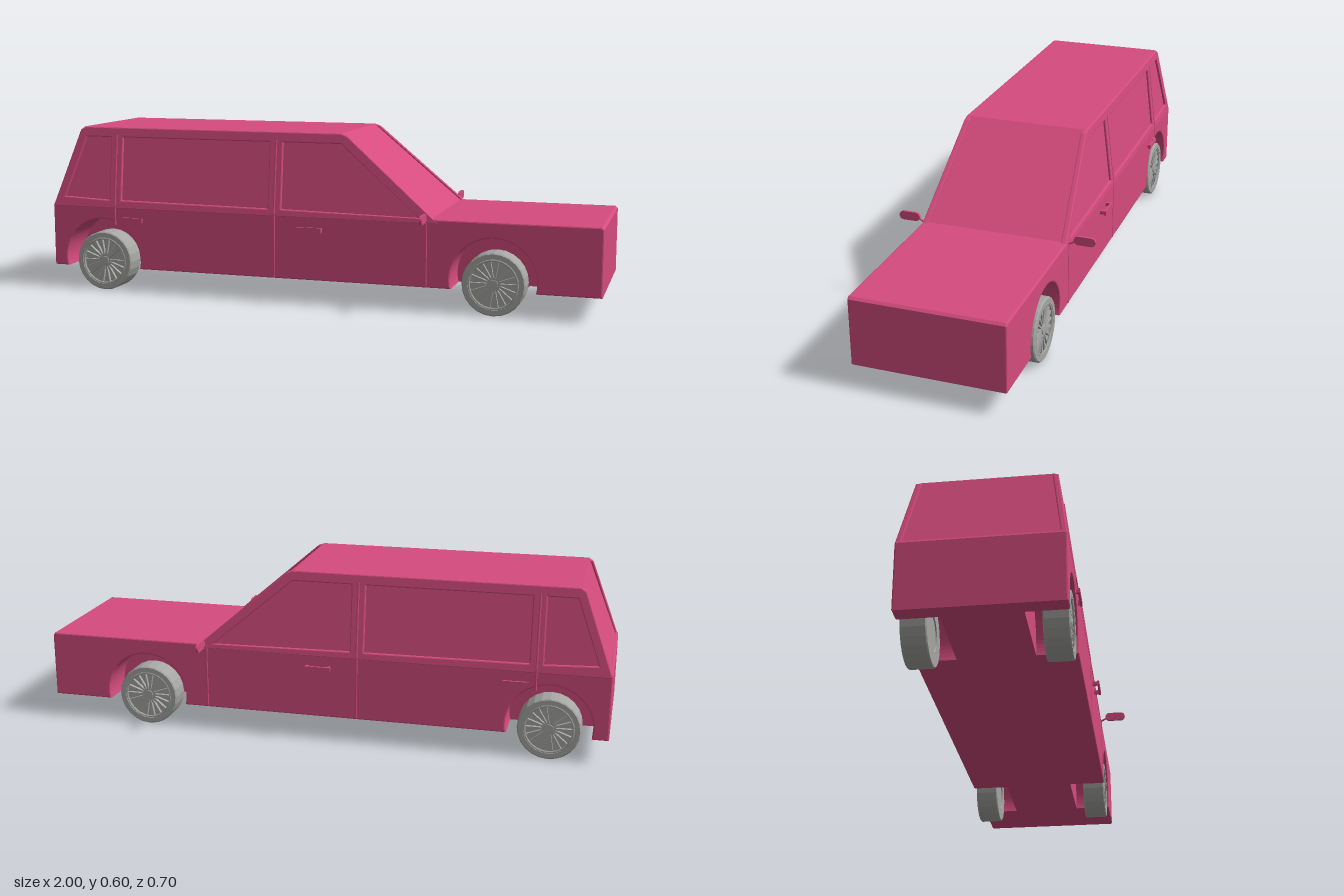
import * as THREE from 'three';

const paint = new THREE.MeshStandardMaterial({ color: 0xd54c7d });
paint.name = 'pink paint';
const metal = new THREE.MeshStandardMaterial({ color: 0xa6a6a4 });
metal.name = 'grey wheel';

const HALF = 0.258, SILL = 0.085, BELT = 0.32, ROOF = 0.598;
const vec = (pts) => pts.map(([x, y]) => new THREE.Vector2(x, y));

// Extrudes a side profile between two z values, optionally with a small bevel.
function slab(shape, z0, z1, bevel = 0) {
  const geo = new THREE.ExtrudeGeometry(shape, {
    depth: z1 - z0 - 2 * bevel, curveSegments: 20, bevelEnabled: bevel > 0,
    bevelSize: bevel, bevelThickness: bevel, bevelOffset: -bevel, bevelSegments: 2,
  });
  return geo.translate(0, 0, z0 + bevel);
}

// Leans the cabin sides inwards with height.
function lean(geo) {
  const p = geo.attributes.position;
  for (let i = 0; i < p.count; i++) {
    const z = p.getZ(i);
    p.setZ(i, z - Math.sign(z) * 0.122 * (p.getY(i) - 0.315));
  }
  geo.computeVertexNormals();
  return geo;
}

// Mirrors a geometry across z and restores the corner order.
function mirrored(geo) {
  const g = geo.index ? geo.toNonIndexed() : geo.clone();
  g.scale(1, 1, -1);
  for (const name of ['position', 'normal']) {
    const a = g.attributes[name].array;
    for (let i = 0; i < a.length; i += 9) {
      for (let k = 3; k < 6; k++) [a[i + k], a[i + k + 3]] = [a[i + k + 3], a[i + k]];
    }
  }
  return g;
}

function add(parent, name, geo, mat = paint) {
  const mesh = new THREE.Mesh(geo, mat);
  mesh.name = name;
  parent.add(mesh);
  return mesh;
}

function addPair(parent, name, geo) {
  add(parent, name + 'Left', geo);
  add(parent, name + 'Right', mirrored(geo));
}

// Thin rod between two points.
function rod(a, b, r) {
  const A = new THREE.Vector3(...a), B = new THREE.Vector3(...b);
  return new THREE.TubeGeometry(new THREE.LineCurve3(A, B), 1, r, 8);
}

function flat(geo) {
  const g = geo.toNonIndexed();
  g.computeVertexNormals();
  return g;
}

// Wheel with its outer face towards +z.
function makeWheel() {
  const wheel = new THREE.Group();
  const profile = vec([[0, -0.037], [0.055, -0.037], [0.057, -0.041], [0.104, -0.041], [0.108, -0.037],
    [0.108, 0.037], [0.104, 0.041], [0.087, 0.041], [0.085, 0.024], [0, 0.024]]);
  add(wheel, 'tyre', flat(new THREE.LatheGeometry(profile, 24).rotateX(Math.PI / 2)), metal);
  add(wheel, 'rimRing', new THREE.TorusGeometry(0.083, 0.004, 6, 32).translate(0, 0, 0.037), metal);
  add(wheel, 'hub', new THREE.CylinderGeometry(0.016, 0.02, 0.016, 16).rotateX(Math.PI / 2).translate(0, 0, 0.031), metal);
  const count = 18;
  for (let i = 0; i < count; i++) {
    const spoke = new THREE.BoxGeometry(0.068, 0.007, 0.012).translate(0.049, 0, 0.03);
    add(wheel, 'spoke', spoke.rotateZ((i / count) * Math.PI * 2), metal);
  }
  return wheel;
}

export function createModel() {
  const car = new THREE.Group();
  car.name = 'stationWagon';
  const wheelX = [-0.8, 0.64];

  // Lower body: a plain core and two sides cut by the wheel arches
  const top = [[1, SILL], [1, 0.312], [0.992, BELT], [-0.995, BELT], [-1, 0.312], [-1, SILL]];
  add(car, 'bodyCore', slab(new THREE.Shape(vec(top)), -0.125, 0.125));
  const side = new THREE.Shape();
  side.moveTo(-1, SILL);
  const R = 0.147, cy = 0.118, a = Math.asin((cy - SILL) / R);
  for (const x of wheelX) {
    side.lineTo(x - R * Math.cos(a), SILL);
    side.absarc(x, cy, R, Math.PI + a, -a, true);
  }
  for (const [x, y] of top.slice(0, 5)) side.lineTo(x, y);
  side.closePath();
  addPair(car, 'bodySide', slab(side, 0.11, HALF, 0.005));

  // Cabin core: glass planes and roof
  const core = new THREE.Shape(vec([[-0.994, 0.305], [-0.883, ROOF], [0.102, ROOF], [0.442, 0.305]]));
  add(car, 'cabin', lean(slab(core, -0.249, 0.249)));

  // Cabin side frames with three window openings
  const frame = new THREE.Shape(vec([[0.452, 0.305], [0.122, 0.59], [0.1, ROOF], [-0.88, ROOF], [-0.897, 0.587], [-1, 0.305]].reverse()));
  const openings = [
    [[0.385, 0.322], [0.1, 0.562], [-0.11, 0.562], [-0.11, 0.33]],
    [[-0.16, 0.33], [-0.16, 0.562], [-0.725, 0.562], [-0.725, 0.335]],
    [[-0.773, 0.335], [-0.773, 0.562], [-0.872, 0.562], [-0.953, 0.342]],
  ];
  for (const o of openings) frame.holes.push(new THREE.Path(vec(o)));
  addPair(car, 'windowFrame', lean(slab(frame, 0.239, HALF, 0.004)));

  // Door seams
  for (const [x, y0, y1] of [[-0.135, 0.09, 0.57], [-0.75, 0.245, 0.57], [0.41, 0.09, 0.315]]) {
    addPair(car, 'doorSeam', rod([x, y0, HALF - 0.001], [x, 0.315, HALF - 0.001], 0.004));
    if (y1 > 0.4) addPair(car, 'pillarSeam', rod([x, 0.315, HALF - 0.001], [x, y1, HALF - 0.032], 0.004));
  }

  // Door handles
  for (const [x, out] of [[0, 0.282], [-0.683, 0.271]]) {
    addPair(car, 'handleBar', new THREE.BoxGeometry(0.09, 0.017, 0.007).translate(x, 0.266, out - 0.0035));
    for (const s of [-1, 1]) {
      const len = out - 0.25;
      addPair(car, 'handlePost', new THREE.BoxGeometry(0.009, 0.013, len).translate(x + s * 0.038, 0.266, 0.25 + len / 2 - 0.002));
    }
  }

  // Wing mirrors: thin rounded plates on short stems
  const plate = new THREE.Shape();
  plate.absarc(-0.022, 0, 0.0155, Math.PI / 2, Math.PI * 1.5);
  plate.absarc(0.022, 0, 0.0155, -Math.PI / 2, Math.PI / 2);
  plate.closePath();
  const mirror = slab(plate, -0.004, 0.004).rotateY(Math.PI / 2).translate(0.412, 0.328, 0.314);
  addPair(car, 'wingMirror', mirror);
  addPair(car, 'mirrorStem', rod([0.412, 0.307, 0.25], [0.412, 0.324, 0.282], 0.0035));

  // Wheels
  for (const x of wheelX) {
    for (const s of [1, -1]) {
      const wheel = makeWheel();
      wheel.name = (x > 0 ? 'front' : 'rear') + (s < 0 ? 'Right' : 'Left') + 'Wheel';
      wheel.position.set(x, 0.108, s * 0.213);
      if (s < 0) wheel.rotation.y = Math.PI;
      car.add(wheel);
    }
  }
  return car;
}
